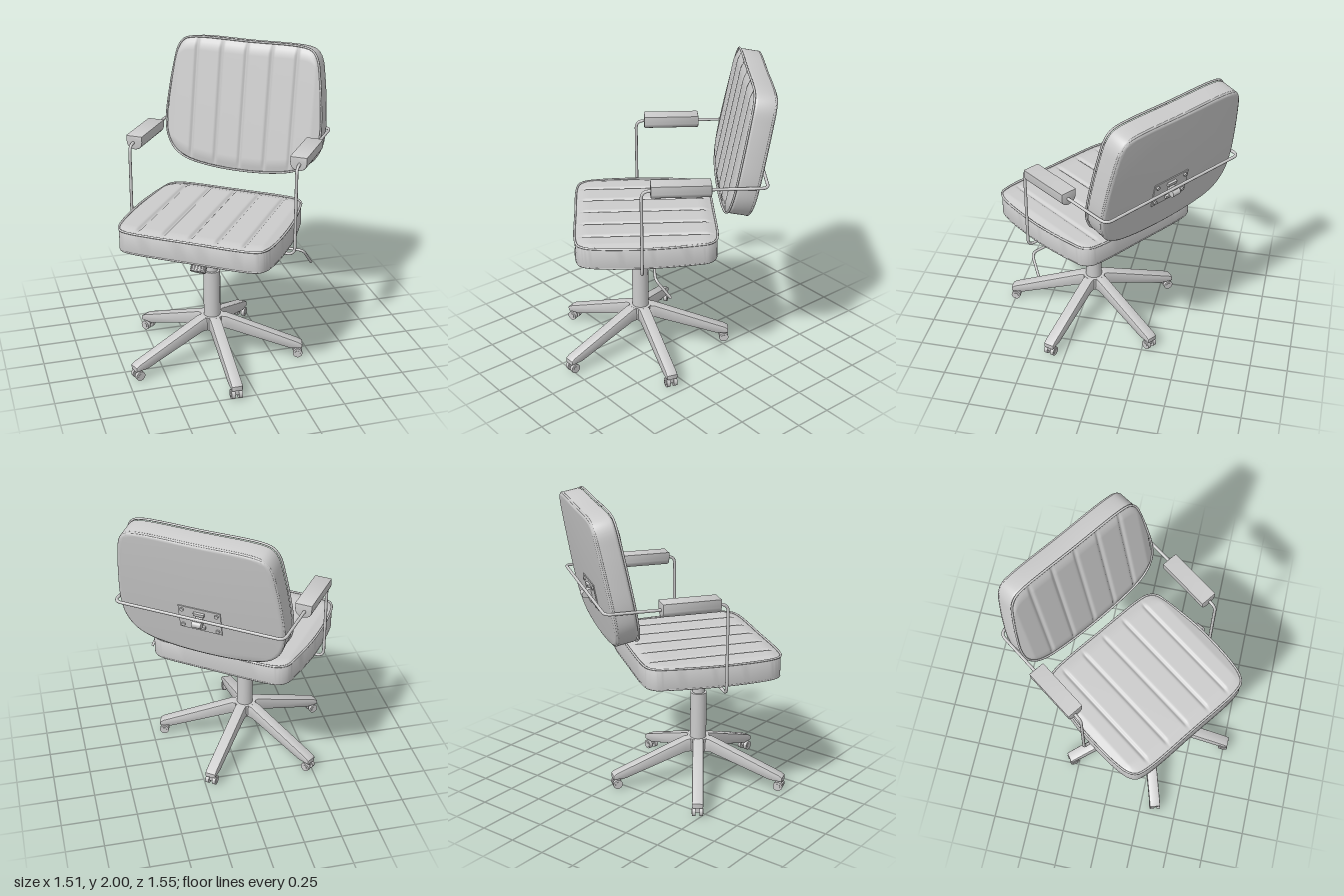
import * as THREE from 'three';
import { toCreasedNormals } from 'three/addons/utils/BufferGeometryUtils.js';

const mat = new THREE.MeshStandardMaterial({ color: 0xcccccc });
const V = (x, y, z) => new THREE.Vector3(x, y, z);

function add(parent, name, geo, x = 0, y = 0, z = 0) {
  const m = new THREE.Mesh(geo, mat);
  m.name = name;
  m.position.set(x, y, z);
  parent.add(m);
  return m;
}

function group(parent, name) {
  const g = new THREE.Group();
  g.name = name;
  parent.add(g);
  return g;
}

const cyl = (r1, r2, h, n = 32) => new THREE.CylinderGeometry(r1, r2, h, n);

// Extruded solid whose bevel stays inside the outline; spans z = 0 to depth
function extrude(points, depth, bevel, segments = 3) {
  return toCreasedNormals(new THREE.ExtrudeGeometry(new THREE.Shape(points), {
    depth: depth - 2 * bevel, bevelThickness: bevel, bevelSize: bevel,
    bevelOffset: -bevel, bevelSegments: segments, curveSegments: 12,
  }).translate(0, 0, bevel), 0.6);
}

// Bent rod: straight runs joined by rounded corners
function rod(points, bend, radius, segments) {
  const path = new THREE.CurvePath();
  let from = points[0];
  for (let i = 1; i < points.length - 1; i++) {
    const p = points[i];
    const a = p.clone().add(points[i - 1].clone().sub(p).setLength(bend));
    const b = p.clone().add(points[i + 1].clone().sub(p).setLength(bend));
    path.add(new THREE.LineCurve3(from, a));
    path.add(new THREE.QuadraticBezierCurve3(a, p, b));
    from = b;
  }
  path.add(new THREE.LineCurve3(from, points[points.length - 1]));
  return new THREE.TubeGeometry(path, segments, radius, 10);
}

// Lowest and highest outline point at a given x
function span(pts, x) {
  let lo = Infinity, hi = -Infinity;
  pts.forEach((p, i) => {
    const q = pts[(i + 1) % pts.length];
    if ((p.x - x) * (q.x - x) > 0 || p.x === q.x) return;
    const y = p.y + (q.y - p.y) * (x - p.x) / (q.x - p.x);
    lo = Math.min(lo, y);
    hi = Math.max(hi, y);
  });
  return [lo, hi];
}

// Upholstered pad: mirrored outline, channelled face at z = 0, body behind it
function cushion(parent, name, half, depth, bevel, seamReach) {
  const g = group(parent, name);
  const right = half.map(([x, y]) => V(x, y, 0));
  const left = half.slice(1, -1).reverse().map(([x, y]) => V(-x, y, 0));
  const curve = new THREE.CatmullRomCurve3([...right, ...left], true, 'centripetal');
  const pts = curve.getPoints(120).slice(0, -1);
  add(g, name + 'Body', extrude(pts, depth - 0.01, bevel, 4), 0, 0, -depth);

  const W = Math.max(...pts.map((p) => p.x)) - 0.012;
  const face = new THREE.PlaneGeometry(2, 2, 150, 30);
  const pos = face.attributes.position;
  for (let i = 0; i < pos.count; i++) {
    const u = pos.getX(i), v = pos.getY(i), x = u * W;
    const [lo, hi] = span(pts, x);
    const y = (lo + hi) / 2 + v * ((hi - lo) / 2 - 0.008);
    const seam = THREE.MathUtils.clamp(Math.round(x / 0.175), -2, 2) * 0.175;
    const groove = Math.abs(v) < seamReach ? Math.exp(-(((x - seam) / 0.011) ** 2)) : 0;
    const rim = Math.min(1, 8 * (1 - Math.abs(v)), 10 * (1 - Math.abs(u)));
    pos.setXYZ(i, x, y, -0.011 + rim * (0.016 - 0.014 * groove));
  }
  face.computeVertexNormals();
  add(g, name + 'ChannelledFace', face);

  const piping = new THREE.TubeGeometry(curve, 160, 0.007, 8, true);
  add(g, name + 'FrontPiping', piping, 0, 0, -0.008);
  add(g, name + 'BackPiping', piping, 0, 0, -depth + bevel * 0.7).scale.set(0.99, 0.99, 1);
  return g;
}

function buildBase(chair) {
  const base = group(chair, 'starBase');
  add(base, 'hub', cyl(0.075, 0.07, 0.095), 0, 0.258, 0);
  add(base, 'columnSleeve', cyl(0.055, 0.055, 0.34), 0, 0.46, 0);
  add(base, 'gasLift', cyl(0.04, 0.04, 0.2), 0, 0.71, 0);
  const profile = [[0.03, 0.21], [0.1, 0.21], [0.52, 0.07], [0.605, 0.068], [0.605, 0.098],
    [0.58, 0.115], [0.09, 0.305], [0.03, 0.305]].map(([x, y]) => new THREE.Vector2(x, y));
  const legGeo = extrude(profile, 0.074, 0.008, 2);
  const wheelGeo = cyl(0.032, 0.032, 0.024, 20).rotateX(Math.PI / 2);
  for (let k = 0; k < 5; k++) {
    const leg = group(base, 'leg');
    leg.rotation.y = THREE.MathUtils.degToRad(36 + 72 * k - 90);
    add(leg, 'legArm', legGeo, 0, 0, -0.037);
    add(leg, 'casterStem', cyl(0.012, 0.012, 0.05, 12), 0.575, 0.06, 0);
    add(leg, 'casterHousing', new THREE.BoxGeometry(0.035, 0.03, 0.024), 0.575, 0.045, 0);
    for (const s of [-1, 1]) {
      add(leg, 'casterWheel', wheelGeo, 0.575, 0.032, s * 0.024);
      add(leg, 'wheelCap', cyl(0.018, 0.018, 0.004, 16).rotateX(Math.PI / 2), 0.575, 0.032, s * 0.037);
    }
  }
}

function buildMechanism(chair) {
  const mech = group(chair, 'tiltMechanism');
  // Housing narrows towards the column
  const box = new THREE.BoxGeometry(0.28, 0.07, 0.4);
  const p = box.attributes.position;
  for (let i = 0; i < p.count; i++) {
    if (p.getY(i) < 0) p.setXYZ(i, p.getX(i) * 0.75, p.getY(i), p.getZ(i) * 0.55);
  }
  box.computeVertexNormals();
  add(mech, 'housing', box, 0, 0.825, 0);

  const knob = group(mech, 'tensionKnob');
  knob.position.set(0, 0.765, 0.225);
  knob.rotation.x = -0.6;
  add(knob, 'knobBody', cyl(0.043, 0.05, 0.09, 24));
  add(knob, 'knobShaft', cyl(0.015, 0.015, 0.16, 12), 0, 0.08, 0);
  for (let i = 0; i < 14; i++) {
    const a = i / 14 * Math.PI * 2;
    add(knob, 'knobRib', cyl(0.005, 0.005, 0.08, 6), 0.047 * Math.cos(a), 0, 0.047 * Math.sin(a));
  }
  add(mech, 'heightLever', rod([V(0.08, 0.83, -0.08), V(0.595, 0.83, -0.08),
    V(0.622, 0.71, -0.175)], 0.035, 0.009, 50));
}

function buildArms(chair) {
  const X = 0.562, Y = 1.423, Z = -0.77;
  const side = [V(0.1, 0.832, 0), V(X, 0.832, 0), V(X, Y, 0), V(X, Y, Z)];
  const mirrored = side.map((v) => V(-v.x, v.y, v.z)).reverse();
  add(chair, 'armFrame', rod([...side, ...mirrored], 0.05, 0.01, 320));

  // Pads: flat on top, round underneath
  const pad = new THREE.Shape();
  pad.moveTo(-0.055, 0.045);
  pad.lineTo(-0.055, 0.005);
  pad.bezierCurveTo(-0.055, -0.065, 0.055, -0.065, 0.055, 0.005);
  pad.lineTo(0.055, 0.045);
  const padGeo = extrude(pad.getPoints(16), 0.37, 0.006, 2);
  for (const s of [-1, 1]) add(chair, s > 0 ? 'leftArmPad' : 'rightArmPad', padGeo, s * 0.555, Y + 0.002, -0.425);
}

function buildBracket(back) {
  const b = group(back, 'backBracket');
  b.position.set(0, -0.14, -0.155);
  add(b, 'bracketPlate', new THREE.BoxGeometry(0.28, 0.17, 0.012));
  for (const x of [-0.115, 0.115]) {
    for (const y of [-0.06, 0.06]) add(b, 'screw', cyl(0.013, 0.013, 0.01, 16).rotateX(Math.PI / 2), x, y, -0.01);
  }
  add(b, 'clampPost', new THREE.BoxGeometry(0.045, 0.05, 0.05), 0, 0, -0.025);
  add(b, 'clampSleeve', cyl(0.022, 0.022, 0.06, 20).rotateZ(Math.PI / 2), 0, 0, -0.048);
  for (const y of [-0.05, 0.05]) add(b, 'clampTab', new THREE.BoxGeometry(0.07, 0.02, 0.02), 0, y, -0.012);
}

export function createModel() {
  const root = new THREE.Group();
  root.name = 'swivelChair';
  const chair = group(root, 'chair');
  chair.position.set(-0.135, 0, 0.17);
  chair.rotation.y = -Math.PI / 5;

  buildBase(chair);
  buildMechanism(chair);
  buildArms(chair);

  const seat = cushion(chair, 'seat', [[0, 0.49], [0.37, 0.485], [0.43, 0.47], [0.47, 0.43], [0.485, 0.37],
    [0.517, 0.12], [0.522, -0.05], [0.512, -0.25], [0.492, -0.35], [0.46, -0.395], [0.39, -0.415], [0, -0.42]],
  0.155, 0.014, 0.93);
  seat.position.y = 1.015;
  seat.rotation.x = -Math.PI / 2;

  const back = cushion(chair, 'backrest', [[0, 0.435], [0.39, 0.432], [0.45, 0.412], [0.487, 0.36], [0.512, 0.24],
    [0.535, 0.06], [0.546, -0.12], [0.53, -0.24], [0.48, -0.33], [0.4, -0.385], [0.25, -0.42], [0, -0.435]],
  0.155, 0.022, 1.1);
  back.position.set(0, 1.565, -0.595);
  back.rotation.x = -0.19;
  buildBracket(back);
  return root;
}
